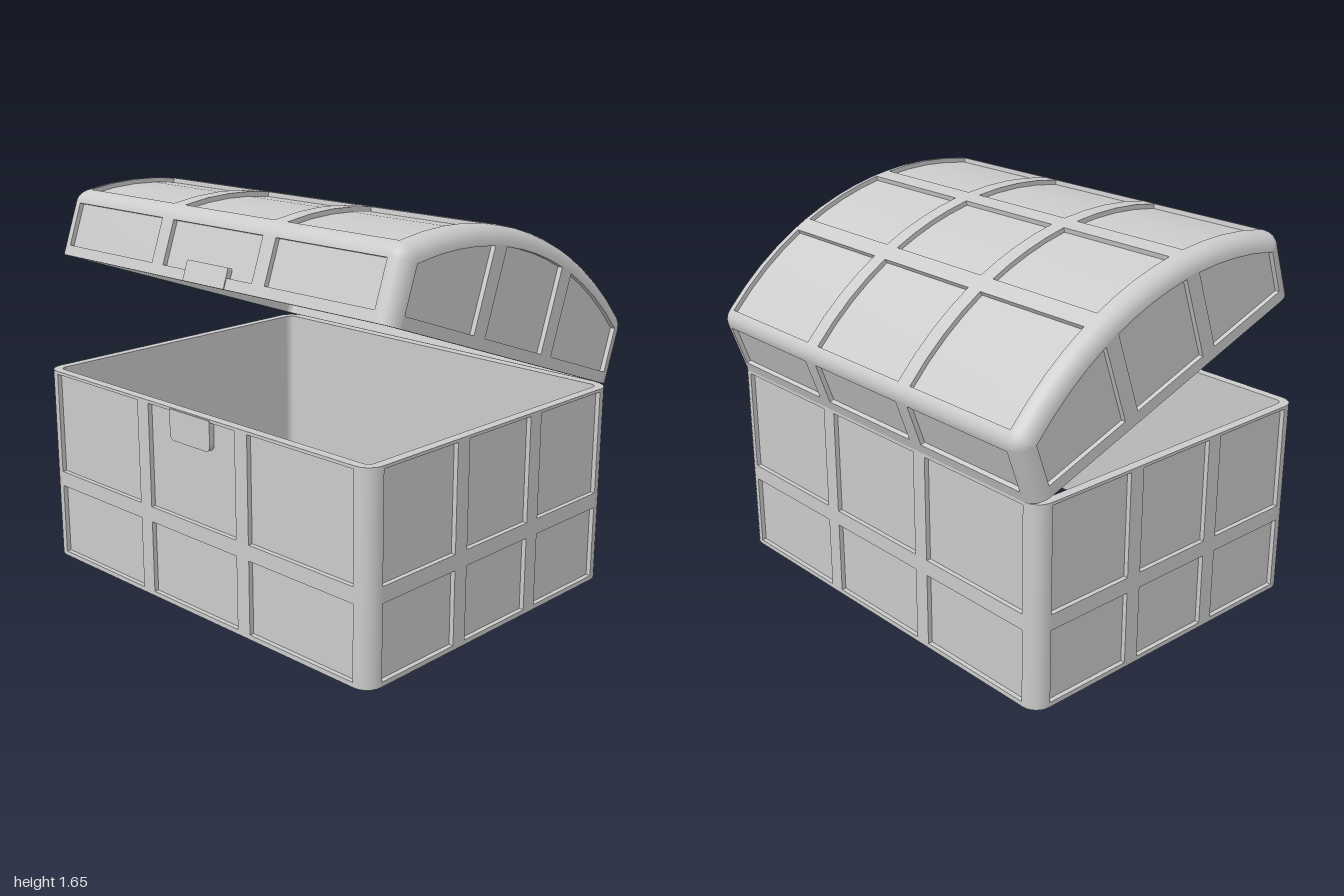
import * as THREE from 'three';
import { toCreasedNormals } from 'three/addons/utils/BufferGeometryUtils.js';

const W = 1.49, L = 1.92, H = 0.86;      // chest width, length, body height
const R = 0.07, WALL = 0.04, RECESS = 0.02;
const material = new THREE.MeshStandardMaterial({ color: 0xcccccc });

// Skin over a grid of lines. A cell open in both directions is a sunken panel;
// side walls are added wherever the depth changes.
function skin(us, vs, point, flip = false) {
  const pos = [];
  const quad = (a, b, c, d) => {
    for (const p of flip ? [a, c, b, a, d, c] : [a, b, c, a, c, d]) pos.push(...p);
  };
  const depth = (i, j) => (us[i].open && vs[j].open ? RECESS : 0);
  const P = (i, j, d) => point(us[i], vs[j], d);
  for (let i = 0; i < us.length - 1; i++) {
    for (let j = 0; j < vs.length - 1; j++) {
      const a = depth(i, j);
      quad(P(i, j, a), P(i + 1, j, a), P(i + 1, j + 1, a), P(i, j + 1, a));
      if (i < us.length - 2) {
        const b = depth(i + 1, j);
        if (a !== b) quad(P(i + 1, j, a), P(i + 1, j, b), P(i + 1, j + 1, b), P(i + 1, j + 1, a));
      }
      if (j < vs.length - 2) {
        const b = depth(i, j + 1);
        if (a !== b) quad(P(i, j + 1, a), P(i + 1, j + 1, a), P(i + 1, j + 1, b), P(i, j + 1, b));
      }
    }
  }
  const geo = new THREE.BufferGeometry();
  geo.setAttribute('position', new THREE.Float32BufferAttribute(pos, 3));
  return toCreasedNormals(geo, 0.6);
}

// Path points carry an outward normal; rails carry a position and an inset
const sweep = (path, rails, flip) => skin(path, rails, (u, v, d) => {
  const k = (v.inset || 0) + d;
  return [u.x - u.nx * k, u.y - u.ny * k, v.at];
}, flip);

// Three panels along a span, symmetric about 0: [{ at, open }]
function panels(half, outer, b, a, steps = 1) {
  const cuts = [-half, -outer, -b, -a, a, b, outer, half];
  const list = [];
  for (let i = 0; i < cuts.length - 1; i++) {
    const n = i % 2 ? steps : 1;
    for (let k = 0; k < n; k++) {
      list.push({ at: cuts[i] + (cuts[i + 1] - cuts[i]) * k / n, open: i % 2 === 1 });
    }
  }
  list.push({ at: half, open: false });
  return list;
}
const HX = W / 2 - R, HZ = L / 2 - R;
const acrossX = panels(HX, HX - 0.006, 0.26, 0.19, 4);
const alongZ = panels(HZ, HZ - 0.006, 0.33, 0.26);

function arc(cx, cy, from, to, n) {
  return Array.from({ length: n + 1 }, (_, i) => {
    const t = from + (to - from) * i / n, nx = Math.cos(t), ny = Math.sin(t);
    return { x: cx + nx * R, y: cy + ny * R, nx, ny, open: false };
  });
}

// Closed rounded rectangle, counter-clockwise, four panelled sides
function ringPath() {
  const path = [];
  for (let s = 0; s < 4; s++) {
    const t = s * Math.PI / 2, nx = Math.round(Math.cos(t)), ny = Math.round(Math.sin(t));
    const [side, off, end] = s % 2 ? [acrossX, L / 2, HX] : [alongZ, W / 2, HZ];
    for (const p of side) path.push({ x: nx * off - ny * p.at, y: ny * off + nx * p.at, nx, ny, open: p.open });
    const ax = nx * (off - R) - ny * end, ay = ny * (off - R) + nx * end;
    path.push(...arc(ax, ay, t, t + Math.PI / 2, 6).slice(1, -1));
  }
  path.push({ ...path[0] });
  return path;
}

// Lid vault: a circular arc, offset by the edge radius
const SHOULDER = 0.235, RISE = 0.18;
const VR = (HX * HX + RISE * RISE) / (2 * RISE), VC = SHOULDER + RISE - VR;
const vaultY = x => VC + Math.sqrt(VR * VR - x * x);

function lidPath() {
  const end = Math.atan2(SHOULDER - VC, HX), hw = W / 2;
  const path = [
    { x: hw, y: 0, nx: 1, ny: 0, open: false },
    { x: hw, y: 0.045, nx: 1, ny: 0, open: true },
    { x: hw, y: 0.23, nx: 1, ny: 0, open: false },
    ...arc(HX, SHOULDER, 0, end, 5).slice(0, -1),
  ];
  const roof = acrossX.map(p => {
    const nx = p.at / VR, ny = (vaultY(p.at) - VC) / VR;
    return { x: p.at + nx * R, y: vaultY(p.at) + ny * R, nx, ny };
  }).reverse();
  // reversing moves each flag to the other end of its segment
  roof.forEach((p, i) => { p.open = i < roof.length - 1 && acrossX[acrossX.length - 2 - i].open; });
  path.push(...roof, ...arc(-HX, SHOULDER, Math.PI - end, Math.PI, 5).slice(1));
  path.push(
    { x: -hw, y: 0.23, nx: -1, ny: 0, open: true },
    { x: -hw, y: 0.045, nx: -1, ny: 0, open: false },
    { x: -hw, y: 0, nx: -1, ny: 0, open: false });
  return path;
}

// Rails along the lid, rounding over at both ends with radius r
function lidRails(r, open) {
  const n = 6, right = [];
  for (let i = 1; i <= n; i++) {
    const t = i / n * Math.PI / 2;
    right.push({ at: HZ + r * Math.sin(t), inset: R - r * Math.cos(t), open: false });
  }
  const left = right.map(p => ({ ...p, at: -p.at })).reverse();
  return [...left, ...alongZ.map(p => ({ at: p.at, inset: R - r, open: open && p.open })), ...right];
}

// Flat end of the lid under the vault
function lidEnd(z, flip) {
  const rows = [
    { y: () => 0, open: false },
    { y: () => 0.047, open: !flip },
    { y: x => vaultY(x) - 0.006, open: false },
    { y: vaultY, open: false },
  ];
  return skin(acrossX, rows, (u, v, d) => [u.at, v.y(u.at), z - d], flip);
}

// Latch plate with two rounded corners at its free end
function latchPlate(height, r) {
  const w = 0.12, s = new THREE.Shape();
  s.moveTo(-w, 0);
  s.lineTo(w, 0);
  s.lineTo(w, height - r);
  s.quadraticCurveTo(w, height, w - r, height);
  s.lineTo(-w + r, height);
  s.quadraticCurveTo(-w, height, -w, height - r);
  const geo = new THREE.ExtrudeGeometry(s, { depth: RECESS + 0.004, bevelEnabled: false, curveSegments: 5 });
  return geo.rotateY(-Math.PI / 2).translate(-W / 2 + RECESS, 0, 0);
}

function add(parent, name, geo) {
  const mesh = new THREE.Mesh(geo, material);
  mesh.name = name;
  parent.add(mesh);
  return mesh;
}

export function createModel() {
  const model = new THREE.Group();
  model.name = 'openChest';
  const chest = new THREE.Group();
  chest.name = 'chest';
  chest.position.x = -0.043;
  chest.rotation.y = -0.06;
  model.add(chest);

  // Bottomless body: outside, top rim, inside and bottom rim in one sweep
  const ring = ringPath();
  const bodyRails = [
    { at: 0 }, { at: 0.02, open: true }, { at: 0.333 }, { at: 0.4, open: true }, { at: 0.847 },
    { at: H }, { at: H, inset: WALL }, { at: 0, inset: WALL }, { at: 0 },
  ];
  add(chest, 'body', sweep(ring, bodyRails).rotateX(-Math.PI / 2));
  add(chest, 'bodyLatch', latchPlate(0.13, 0.03).rotateX(Math.PI).translate(0, H - 0.005, 0));

  // Lid, swung open on the hinge edge
  const hinge = new THREE.Group();
  hinge.name = 'lid';
  hinge.position.set(W / 2, H, 0);
  hinge.rotation.z = -0.342;
  chest.add(hinge);
  const lid = new THREE.Group();
  lid.name = 'lidParts';
  lid.position.x = -W / 2;
  hinge.add(lid);

  const path = lidPath();
  add(lid, 'lidShell', sweep(path, lidRails(R, true)));
  add(lid, 'lidLining', sweep(path, lidRails(R - WALL, false), true));
  for (const turn of [0, Math.PI]) {
    add(lid, 'lidEnd', lidEnd(L / 2, false).rotateY(turn));
    add(lid, 'lidEndLining', lidEnd(L / 2 - WALL, true).rotateY(turn));
  }
  add(lid, 'lidRim', sweep(ring, [{ at: 0, inset: WALL }, { at: 0 }], true)
    .rotateX(-Math.PI / 2).rotateX(Math.PI).scale(1, 1, 1)).material = new THREE.MeshStandardMaterial({
    color: 0xcccccc, side: THREE.DoubleSide });
  add(lid, 'lidLatch', latchPlate(0.085, 0.01));

  return model;
}
